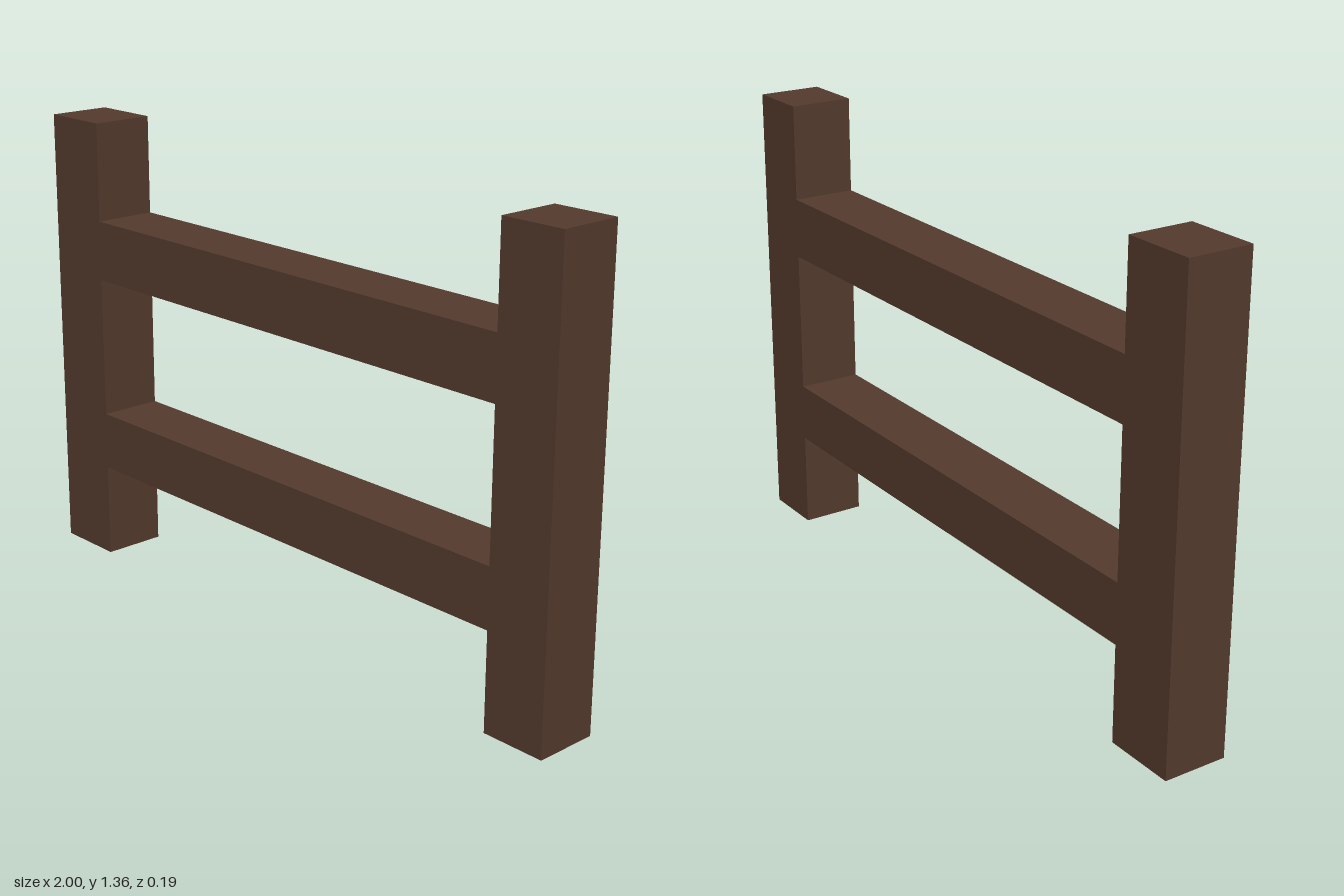
import * as THREE from 'three';

export function createModel() {
  const group = new THREE.Group();
  group.name = 'fence';
  const wood = new THREE.MeshStandardMaterial({ color: 0x543a2d });
  wood.name = 'dark brown wood';
  const depth = 0.19;

  // Square-edged timber given by its front extents
  const beam = (name, x0, x1, y0, y1) => {
    const mesh = new THREE.Mesh(new THREE.BoxGeometry(x1 - x0, y1 - y0, depth), wood);
    mesh.position.set((x0 + x1) / 2, (y0 + y1) / 2, 0);
    mesh.name = name;
    group.add(mesh);
  };

  // Posts: the right one is slightly wider and taller
  const rightInner = -0.785, leftInner = 0.807;
  beam('rightPost', -1, rightInner, 0.003, 1.362);
  beam('leftPost', leftInner, 1, 0, 1.353);

  // Rails, flush with the posts front and back
  beam('upperRail', rightInner, leftInner, 0.888, 1.068);
  beam('lowerRail', rightInner, leftInner, 0.288, 0.463);

  return group;
}
